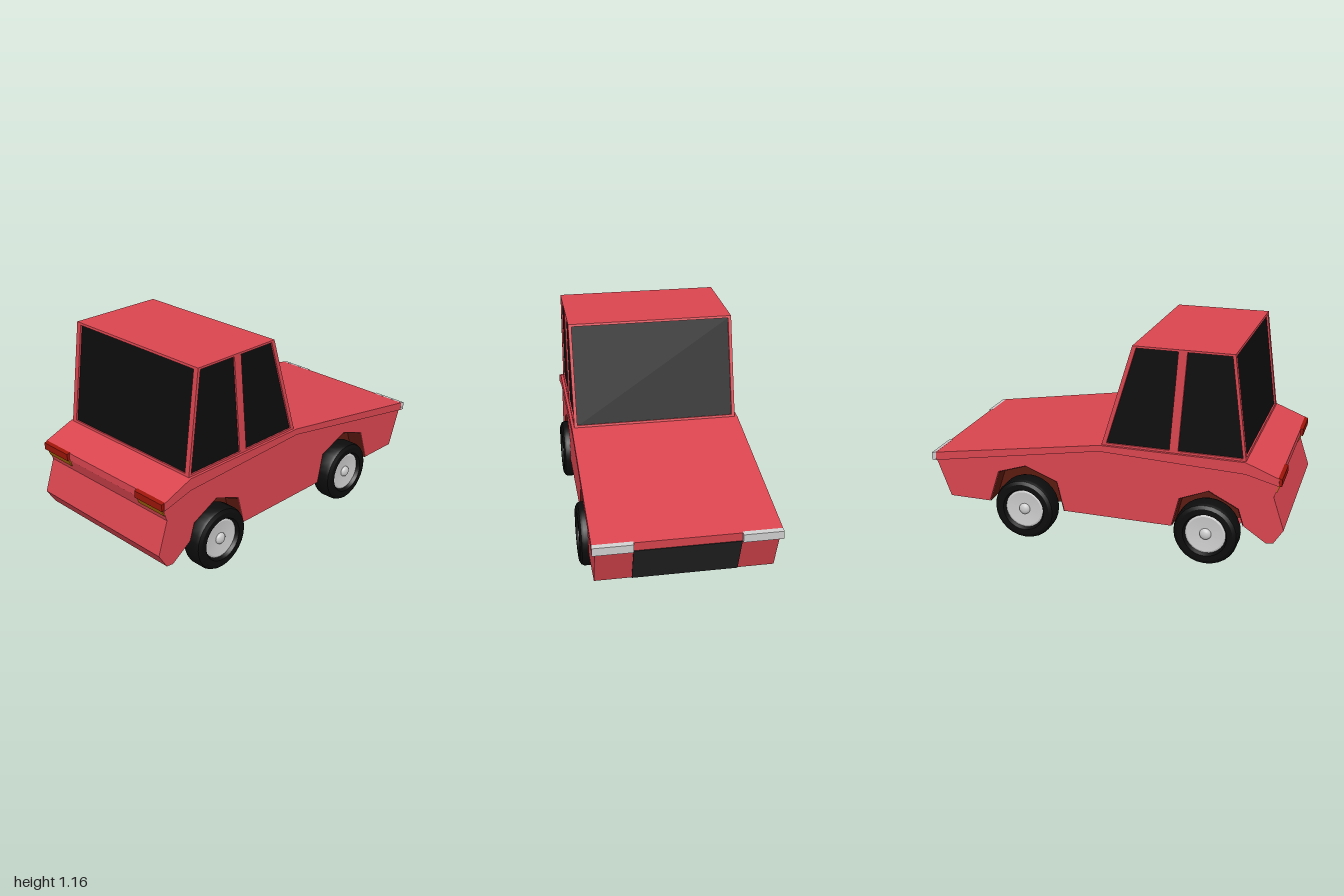
import * as THREE from 'three';
import { toCreasedNormals } from 'three/addons/utils/BufferGeometryUtils.js';

const paint = (color, extra = {}) => new THREE.MeshStandardMaterial({ color, ...extra });
const red = paint(0xd9454f);
const black = paint(0x0c0c0c);
const grille = paint(0x222222);
const liner = paint(0x5c1a10, { side: THREE.DoubleSide });
const grey = paint(0xcccccc);
const tailRed = paint(0x9c1408);
const amber = paint(0xa8690c);

const shapeOf = (pts) => new THREE.Shape(pts.map(([x, y]) => new THREE.Vector2(x, y)));

function add(parent, name, geometry, material) {
  const mesh = new THREE.Mesh(geometry, material);
  mesh.name = name;
  parent.add(mesh);
  return mesh;
}

// Side profile extruded from z0 to z1, with optional holes
function slab(parent, name, pts, z0, z1, material, holes = []) {
  const shape = shapeOf(pts);
  holes.forEach((h) => shape.holes.push(shapeOf(h)));
  const geo = new THREE.ExtrudeGeometry(shape, { depth: z1 - z0, bevelEnabled: false });
  geo.translate(0, 0, z0);
  return add(parent, name, geo, material);
}

const rearArch = [[-0.79, 0.235], [-0.76, 0.33], [-0.6, 0.41], [-0.44, 0.345], [-0.4, 0.18]];
const frontArch = [[0.21, 0.18], [0.25, 0.35], [0.435, 0.42], [0.6, 0.365], [0.66, 0.18]];
const HALF = 0.4675; // half width of body and cabin
const POCKET = 0.36; // inner wall of the wheel arches

function buildBody(car) {
  const outline = [[0.9, 0.18], [0.98, 0.395], [0, 0.57], [-0.79, 0.54], [-0.965, 0.495],
    [-0.94, 0.42], [-1, 0.24], [-0.95, 0.16], [-0.91, 0.155]];
  slab(car, 'bodyCore', [...outline, [-0.79, 0.235], [-0.74, 0.18]], -POCKET, POCKET, red);
  for (const s of [1, -1]) {
    const z0 = s > 0 ? POCKET : -HALF, z1 = s > 0 ? HALF : -POCKET;
    slab(car, 'bodySide', [...outline, ...rearArch, ...frontArch], z0, z1, red);

    // Dark lining of the wheel arches: curved strip and back wall
    for (const arch of [rearArch, frontArch]) {
      const strip = new THREE.PlaneGeometry(1, 1, arch.length - 1, 1);
      const pos = strip.attributes.position;
      const midX = (arch[0][0] + arch[4][0]) / 2;
      for (let i = 0; i < pos.count; i++) {
        const [x, y] = arch[i % arch.length];
        pos.setXYZ(i, x + (x < midX ? 0.003 : -0.003), y - 0.003, s * (i < arch.length ? POCKET : HALF));
      }
      add(car, 'archLining', toCreasedNormals(strip, 0.3), liner);
      const wall = new THREE.ShapeGeometry(shapeOf(arch));
      wall.translate(0, 0, s * (POCKET + 0.003));
      add(car, 'archWall', wall, liner);
    }
  }

  // Overhanging upper deck: bonnet, belt line and boot
  slab(car, 'upperDeck', [[0.98, 0.393], [0.985, 0.44], [0, 0.6], [-0.79, 0.6], [-0.965, 0.532],
    [-0.965, 0.49], [-0.79, 0.535], [0, 0.565]], -0.4825, 0.4825, red);

  // Grille plate on the sloping nose
  slab(car, 'grille', [[0.895, 0.18], [0.905, 0.18], [0.983, 0.39], [0.97, 0.39]], -0.275, 0.275, grille);

  // Lights at the four corners
  for (const s of [1, -1]) {
    const span = (a, b) => (s > 0 ? [a, b] : [-b, -a]);
    slab(car, 'headlight', [[0.975, 0.393], [1, 0.393], [1, 0.437], [0.975, 0.442]], ...span(0.275, 0.4835), grey);
    slab(car, 'tailLight', [[-0.98, 0.49], [-0.96, 0.49], [-0.96, 0.534], [-0.98, 0.528]], ...span(0.275, 0.478), tailRed);
    slab(car, 'rearIndicator', [[-0.972, 0.49], [-0.955, 0.45], [-0.94, 0.45], [-0.94, 0.49]], ...span(0.275, HALF - 0.002), amber);
  }
}

// Sloping window frame at one end of the cabin; dir is +1 for front, -1 for rear
function endFrame(car, name, dir, bottomX, topX, border) {
  const run = Math.abs(topX - bottomX), len = Math.hypot(run, 0.56);
  const w = HALF, i = w - border;
  const frame = slab(car, name, [[-w, 0], [w, 0], [w, len], [-w, len]], -0.013, 0, red,
    [[[-i, 0.013], [i, 0.013], [i, len - 0.013], [-i, len - 0.013]]]);
  frame.position.set(bottomX, 0.6, 0);
  frame.rotation.set(-Math.atan2(run, 0.56), dir * Math.PI / 2, 0, 'YXZ');
}

function buildCabin(car) {
  const outline = [[-0.01, 0.6], [-0.18, 1.16], [-0.715, 1.16], [-0.79, 0.6]];
  const windows = [
    [[-0.773, 0.612], [-0.7, 1.15], [-0.47, 1.15], [-0.43, 0.612]],
    [[-0.383, 0.612], [-0.423, 1.15], [-0.2, 1.15], [-0.037, 0.612]],
  ];
  slab(car, 'cabinSideLeft', outline, HALF - 0.012, HALF, red, windows);
  slab(car, 'cabinSideRight', outline, -HALF, -HALF + 0.012, red, windows);
  endFrame(car, 'windscreenFrame', 1, -0.01, -0.18, 0.018);
  endFrame(car, 'rearWindowFrame', -1, -0.79, -0.715, 0.03);
  slab(car, 'roof', [[-0.178, 1.149], [-0.18, 1.16], [-0.715, 1.16], [-0.716, 1.149]], -HALF, HALF, red);
  slab(car, 'glass', [[-0.02, 0.598], [-0.187, 1.15], [-0.706, 1.15], [-0.781, 0.598]],
    -HALF + 0.009, HALF - 0.009, black);
}

// Lathed wheel, with its outer face towards +y before it is turned
function buildWheel() {
  const wheel = new THREE.Group();
  wheel.name = 'wheel';
  const lathe = (pts) => toCreasedNormals(
    new THREE.LatheGeometry(pts.map(([x, y]) => new THREE.Vector2(x, y)), 28), 0.5);
  add(wheel, 'tyre', lathe([[0, 0], [0.155, 0], [0.17, 0.01], [0.175, 0.025], [0.175, 0.095],
    [0.168, 0.11], [0.15, 0.12], [0.12, 0.12], [0.108, 0.098]]), black);
  add(wheel, 'rim', lathe([[0.112, 0.1], [0.1, 0.105], [0.04, 0.098], [0, 0.098]]), grey);
  const cap = add(wheel, 'hubCap', new THREE.SphereGeometry(0.032, 16, 8), grey);
  cap.scale.y = 0.6;
  cap.position.y = 0.1;
  return wheel;
}

export function createModel() {
  const model = new THREE.Group();
  model.name = 'car';
  const shell = new THREE.Group();
  shell.name = 'shell';
  shell.position.z = 0.0075;
  model.add(shell);
  buildBody(shell);
  buildCabin(shell);

  for (const x of [-0.595, 0.435]) {
    for (const s of [1, -1]) {
      const wheel = buildWheel();
      wheel.position.set(x, 0.175, 0.0025 + s * 0.3925);
      wheel.rotation.x = s * Math.PI / 2;
      model.add(wheel);
    }
  }
  return model;
}
